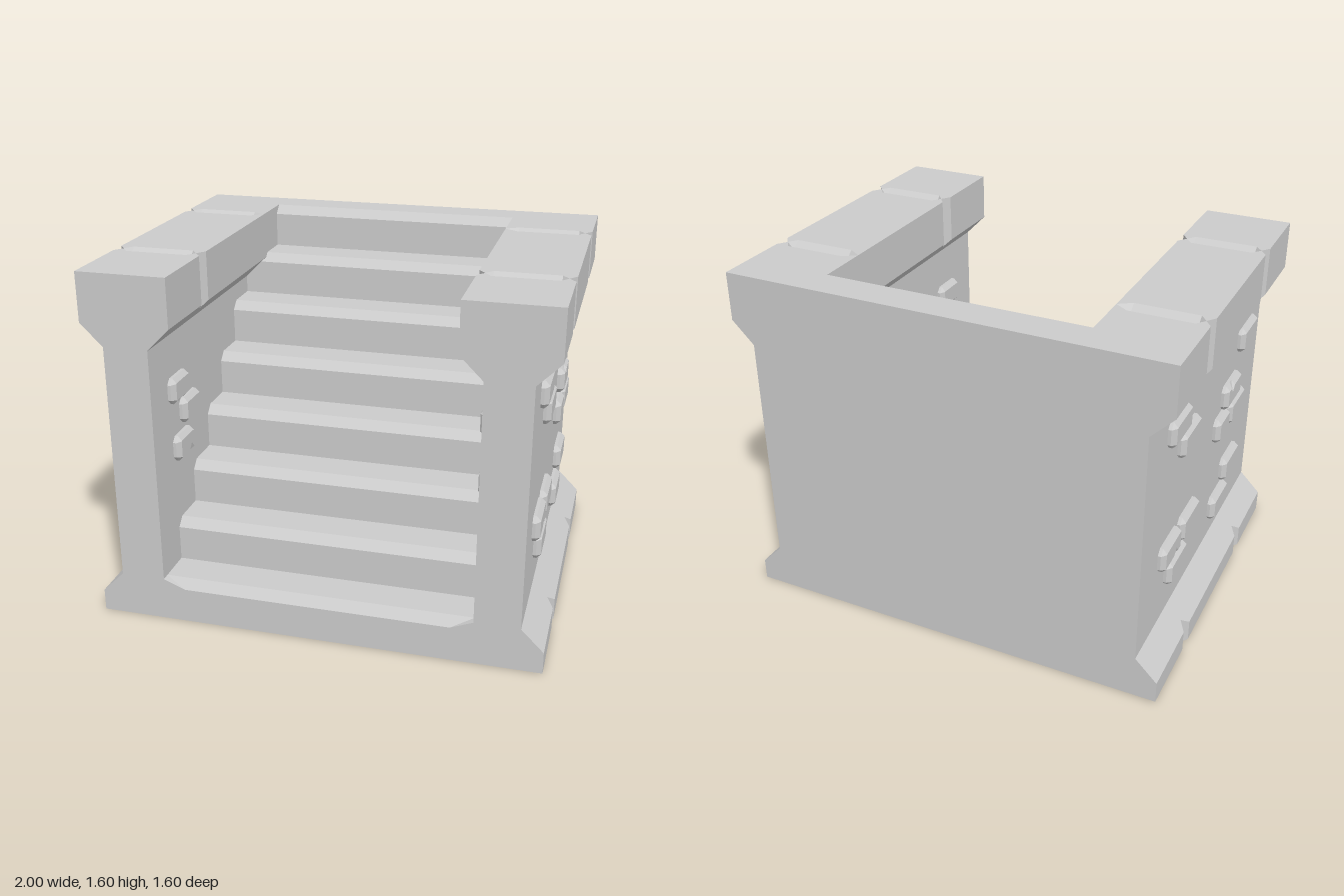
import * as THREE from 'three';

const material = new THREE.MeshStandardMaterial({ color: 0xcccccc, flatShading: true, side: THREE.DoubleSide });

function addMesh(parent, name, geometry) {
  const mesh = new THREE.Mesh(geometry, material);
  mesh.name = name;
  parent.add(mesh);
  return mesh;
}

// Skin through rows of [x, y, z] points; closed joins the ends of each row
function loft(rows, closed = false, cap = []) {
  const n = rows[0].length, index = [];
  for (let r = 0; r < rows.length - 1; r++) {
    for (let i = 0; i < (closed ? n : n - 1); i++) {
      const a = r * n + i, b = r * n + (i + 1) % n;
      index.push(a, b, b + n, a, b + n, a + n);
    }
  }
  for (const face of cap) index.push(...face.map(i => i + (rows.length - 1) * n));
  const g = new THREE.BufferGeometry();
  g.setAttribute('position', new THREE.Float32BufferAttribute(rows.flat(2), 3));
  g.setIndex(index);
  const flat = g.toNonIndexed();
  flat.computeVertexNormals();
  return flat;
}

// Flat polygon whose 2D points are placed in space by a rule
function panel(points, place) {
  const g = new THREE.ShapeGeometry(new THREE.Shape(points.map(p => new THREE.Vector2(...p))));
  const p = g.attributes.position;
  for (let i = 0; i < p.count; i++) p.setXYZ(i, ...place(p.getX(i), p.getY(i)));
  g.computeVertexNormals();
  return g;
}

const mirrored = pts => [...pts, ...pts.map(([x, y]) => [-x, y]).reverse()];

// Half width of the stairwell at height y
const halfWidth = y => Math.min(0.7, 0.6 + Math.max(0, y - 0.16) * 2.5, 0.6 + Math.max(0, 1.38 - y));

// Stair profile as [z, y], with a bevelled nose on every step
function stairProfile() {
  const pts = [];
  for (let k = 1; k <= 8; k++) {
    const z = 1 - 0.2 * k, y = 0.2 * k;
    if (k > 1) pts.push([z, y - 0.2]);
    if (k === 7) pts.push([z, 1.28]);
    pts.push([z, y - 0.04]);
    if (k === 7) pts.push([z - 0.02, 1.38]);
    pts.push([z - 0.04, y]);
  }
  pts.push([-0.8, 1.6]);
  return pts;
}

// Wall cross-sections; d is the groove depth
const outerSection = d => [[1 - d, 0], [1 - d, 0.1 + d], [0.9, 0.2], [0.9, 1.28], [1 - d, 1.38 - d], [1 - d, 1.6]];
const innerSection = d => [[0.7, 1.28], [0.6 + d, 1.38 - d], [0.6 + d, 1.6]];
const groove = 0.03;
const sweep = (section, stations) =>
  loft(stations.map(([z, d]) => section(d).map(([x, y]) => [x, y, z])));

// Bevelled brick facing +z, optionally with a nick in its upper edge
function brickGeometry(w, h, nick) {
  const ring = (inset, c, z, drop) => {
    const a = w / 2 - inset, b = h / 2 - inset;
    const pts = [[-a + c, -b], [a - c, -b], [a, -b + c], [a, b - c], [a - c, b]];
    if (nick) pts.push([-0.015, b], [-0.04, b - drop], [-0.065, b]);
    pts.push([-a + c, b], [-a, b - c], [-a, -b + c]);
    return pts.map(([x, y]) => [x, y, z]);
  };
  const front = ring(0.02, 0.002, 0.034, 0.028);
  const cap = THREE.ShapeUtils.triangulateShape(front.map(p => new THREE.Vector2(p[0], p[1])), []);
  return loft([ring(0, 0.025, 0, 0), ring(0, 0.025, 0.014, 0), front], true, cap);
}

function addBrick(parent, x, facing, [z, y, w = 0.23, nick = '']) {
  const brick = addMesh(parent, 'brick', brickGeometry(w, 0.12, nick !== ''));
  brick.position.set(x, y, z);
  brick.rotation.set(0, facing * Math.PI / 2, nick === 'bottom' ? Math.PI : 0);
}

// Bricks as [z, y, width, nicked edge]
const outerBricks = [
  [0.45, 1.15], [0.30, 1.02], [-0.54, 1.13], [-0.335, 0.925, 0.23, 'top'], [-0.21, 0.80, 0.175], [-0.43, 0.80],
  [0.47, 0.55, 0.23, 'bottom'], [0.22, 0.55], [0.37, 0.415], [-0.42, 0.49], [-0.27, 0.355],
];
const innerBricks = [[0.54, 1.03, 0.18], [0.43, 0.90, 0.18], [0.52, 0.75, 0.18, 'bottom']];

function buildWall(profile) {
  const wall = new THREE.Group();
  const grooved = [[0.8, 0], [0.44, 0], [0.4, groove], [0.36, 0], [-0.36, 0], [-0.4, groove], [-0.44, 0], [-0.8, 0]];
  addMesh(wall, 'outerWall', sweep(outerSection, grooved));
  addMesh(wall, 'innerLip', sweep(innerSection, grooved.slice(0, 4)));

  // Inner wall in height bands, cut along the stairs
  for (const [lo, hi, front] of [[0.16, 0.2, 0.8], [0.2, 1.28, 0.8], [1.28, 1.38, 0.36], [1.38, 1.6, 0.36]]) {
    const cut = profile.slice(0, -1).filter(([, y]) => y > lo - 1e-4 && y < hi + 1e-4);
    const outline = [...cut, [front, hi]];
    if (lo > 0.16) outline.push([front, lo]);
    addMesh(wall, 'innerWall', panel(outline, (z, y) => [halfWidth(y), y, z]));
  }

  // Coping top in three slabs that meet at the groove tips
  const joint = (z, tip, s) => [[1, z + s], [0.97, z], [0.94, z + s], [0.66, z + s], [tip, z], [0.6, z + s]];
  const slabs = [
    [[0.6, 0.8], [1, 0.8], ...joint(0.4, 0.63, 0.04)],
    [...joint(0.4, 0.63, -0.04), ...joint(-0.4, 0.6, 0.04).reverse()],
    [[0.6, -0.8], [1, -0.8], ...joint(-0.4, 0.6, -0.04)],
  ];
  for (const slab of slabs) addMesh(wall, 'copingTop', panel(slab, (x, z) => [x, 1.6, z]));

  // V-shaped joints sunk into the coping
  for (const [z, tip] of [[0.4, 0.63], [-0.4, 0.6]]) {
    const edge = (s, y) => [[tip, 1.6, z], [0.66, y, z + s], [0.94, y, z + s], [0.97, 1.6, z]];
    addMesh(wall, 'copingJoint', loft([edge(0.04, 1.6), edge(0, 1.57), edge(-0.04, 1.6)]));
  }
  return wall;
}

export function createModel() {
  const model = new THREE.Group();
  model.name = 'stoneStaircase';
  const profile = stairProfile();

  addMesh(model, 'stairs', loft(profile.map(([z, y]) => [[-halfWidth(y), y, z], [halfWidth(y), y, z]])));

  // Front frame around the stairwell and plain back
  const opening = [[0.6, 1.6], [0.6, 1.38], [0.7, 1.28], [0.7, 0.2], [0.6, 0.16]];
  addMesh(model, 'frontFrame', panel(mirrored([...opening].reverse().concat([...outerSection(0)].reverse())),
    (x, y) => [x, y, 0.8]));
  addMesh(model, 'backPanel', panel(mirrored(outerSection(0)), (x, y) => [x, y, -0.8]));

  for (const side of [1, -1]) {
    const wall = buildWall(profile);
    wall.name = side > 0 ? 'leftWall' : 'rightWall';
    wall.scale.x = side;
    model.add(wall);

    // The outer brick pattern is turned half round on the other wall
    const bricks = new THREE.Group();
    bricks.name = side > 0 ? 'leftBricks' : 'rightBricks';
    for (const [z, ...rest] of outerBricks) addBrick(bricks, side * 0.9, side, [side * z, ...rest]);
    for (const b of innerBricks) addBrick(bricks, side * 0.7, -side, b);
    model.add(bricks);
  }
  return model;
}
